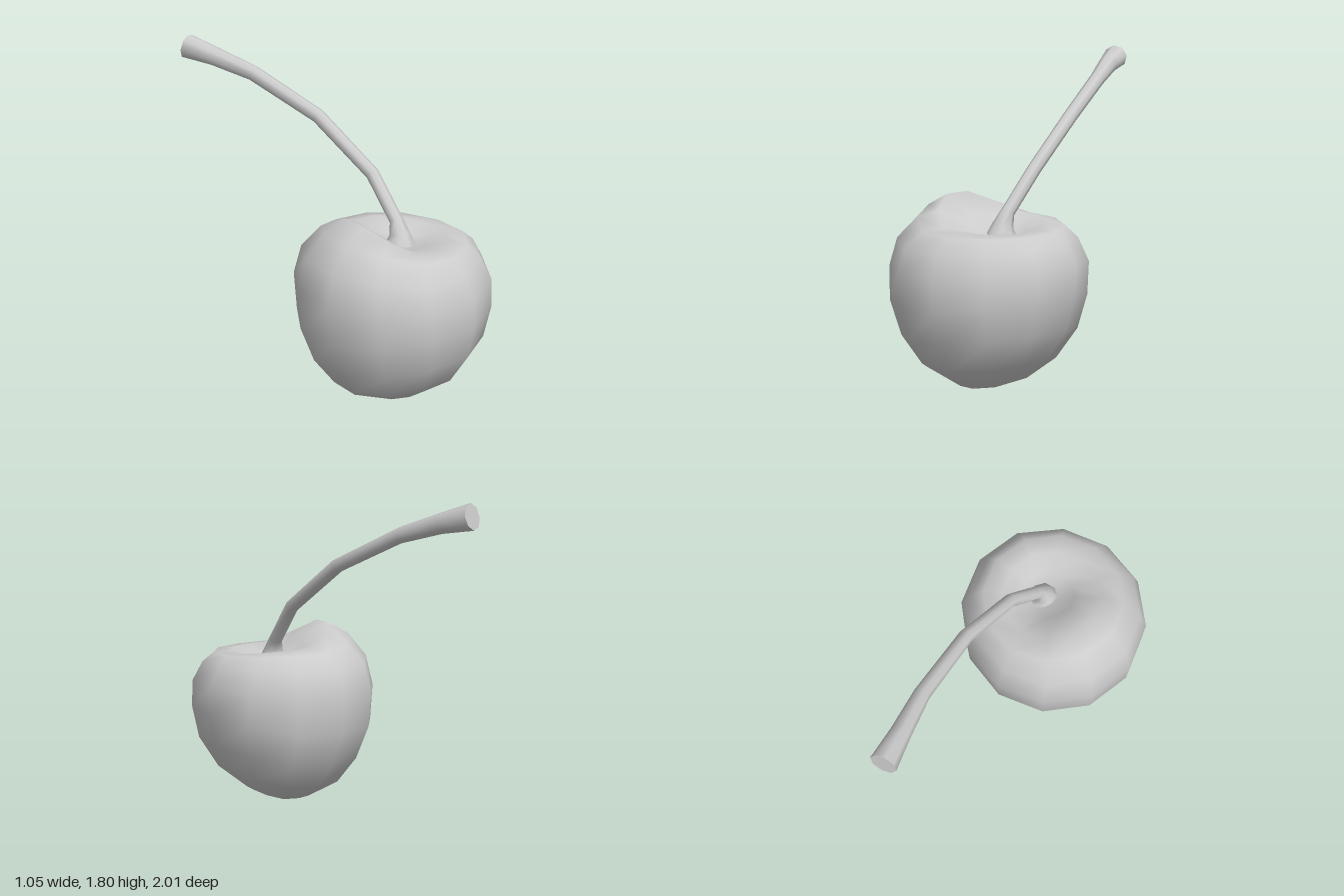
import * as THREE from 'three';
import { mergeVertices } from 'three/addons/utils/BufferGeometryUtils.js';

const material = new THREE.MeshStandardMaterial({ color: 0xcccccc, side: THREE.DoubleSide });

// Skin closed rings of points into one smooth surface
function loft(rings) {
  const n = rings[0].length, pos = [], index = [];
  rings.forEach(ring => ring.forEach(p => pos.push(p.x, p.y, p.z)));
  for (let i = 0; i < rings.length - 1; i++) {
    for (let j = 0; j < n; j++) {
      const a = i * n + j, b = i * n + (j + 1) % n;
      index.push(a, a + n, b, b, a + n, b + n);
    }
  }
  const g = new THREE.BufferGeometry();
  g.setAttribute('position', new THREE.Float32BufferAttribute(pos, 3));
  g.setIndex(index);
  const merged = mergeVertices(g, 1e-5);
  merged.computeVertexNormals();
  return merged;
}

function addMesh(group, name, geometry) {
  const mesh = new THREE.Mesh(geometry, material);
  mesh.name = name;
  group.add(mesh);
}

// Fruit ring: height blends between its -x, +x, front and back values
function fruitRing([cx, cz, r, yNeg, yPos, yFront, yBack]) {
  return Array.from({ length: 12 }, (_, j) => {
    const a = THREE.MathUtils.degToRad(16 + j * 30), c = Math.cos(a), s = Math.sin(a);
    const y = c * c * (c > 0 ? yPos : yNeg) + s * s * (s > 0 ? yFront : yBack);
    return new THREE.Vector3(cx + r * 1.03 * c, y, cz + r * 1.03 * s);
  });
}

// Stem ring: circle square to the direction of the path
function stemRing(center, tangent, r) {
  const u = new THREE.Vector3(1, 0, 0).addScaledVector(tangent, -tangent.x).normalize();
  const v = u.clone().cross(tangent);
  return Array.from({ length: 8 }, (_, j) => {
    const a = (j / 8) * Math.PI * 2;
    return center.clone().addScaledVector(u, r * Math.cos(a)).addScaledVector(v, r * Math.sin(a));
  });
}

export function createModel() {
  const group = new THREE.Group();
  group.name = 'cherry';

  // Fruit, from the bottom up over the uneven rim and into the stem hollow
  const fruit = [
    // cx, cz, r, y at -x, y at +x, y front, y back
    [0.03, 0.47, 0, 0, 0, 0, 0],
    [0.025, 0.49, 0.185, 0.02, 0.08, 0.04, 0.03],
    [0.015, 0.5, 0.355, 0.11, 0.21, 0.17, 0.13],
    [0.015, 0.495, 0.465, 0.26, 0.39, 0.34, 0.28],
    [0, 0.485, 0.52, 0.46, 0.575, 0.52, 0.46],
    [-0.005, 0.475, 0.525, 0.67, 0.73, 0.68, 0.67],
    [-0.015, 0.475, 0.475, 0.85, 0.84, 0.81, 0.82],
    [0.01, 0.475, 0.39, 0.99, 0.89, 0.89, 0.91],
    [0.02, 0.475, 0.28, 1.06, 0.895, 0.9, 0.93],
    [0.05, 0.465, 0.15, 0.95, 0.85, 0.87, 0.88],
    [0.07, 0.455, 0, 0.83, 0.83, 0.83, 0.83],
  ];
  addMesh(group, 'fruit', loft(fruit.map(fruitRing)));

  // Stem, flared at its foot and thickening to the cut end
  const stem = [
    [0.07, 0.855, 0.455, 0.082],
    [0.073, 0.9, 0.445, 0.058],
    [0.075, 0.97, 0.41, 0.038],
    [0.07, 1.18, 0.205, 0.038],
    [-0.02, 1.435, -0.175, 0.04],
    [-0.18, 1.62, -0.58, 0.044],
    [-0.295, 1.69, -0.8, 0.055],
    [-0.378, 1.73, -0.968, 0.072],
  ];
  const points = stem.map(([x, y, z]) => new THREE.Vector3(x, y, z));
  const last = points.length - 1;
  const rings = points.map((p, i) => {
    const t = points[Math.min(i + 1, last)].clone().sub(p).normalize();
    if (i > 0) t.add(p.clone().sub(points[i - 1]).normalize()).normalize();
    if (i === 0) t.set(0, 1, 0);
    return stemRing(p, t, stem[i][3]);
  });
  addMesh(group, 'stem', loft(rings));

  // Flat cut face at the stem's end
  addMesh(group, 'stemEnd', loft([rings[last], rings[last].map(() => points[last])]));

  return group;
}
